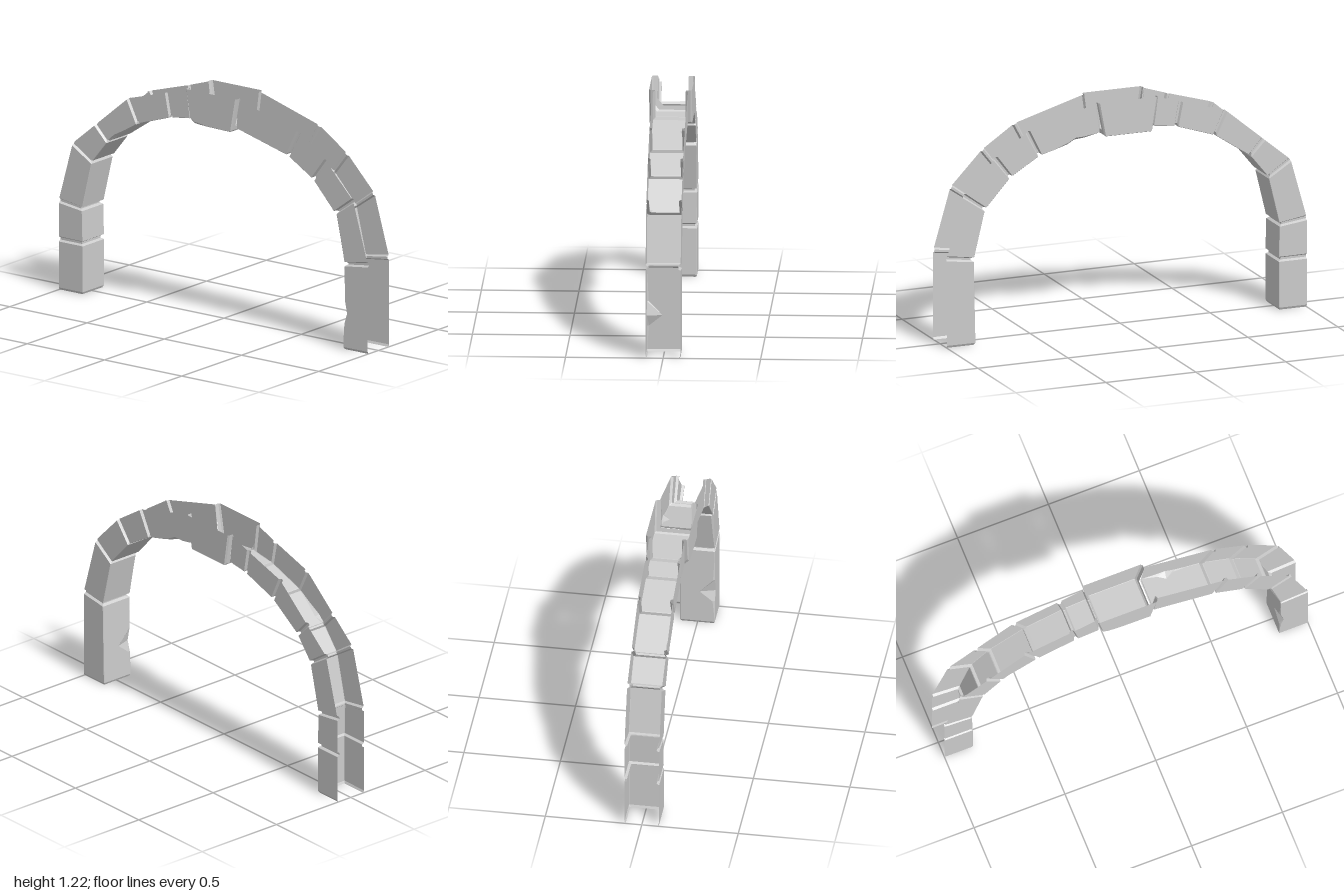
import * as THREE from 'three';

// Joint lines across the arch, left foot to right foot: outer x, y, inner x, y
const LEFT = [
  [-1, 0, -0.845, 0], [-1, 0.27, -0.845, 0.27], [-1, 0.475, -0.85, 0.455],
  [-0.91, 0.795, -0.787, 0.715], [-0.76, 0.92, -0.685, 0.84],
  [-0.55, 1.095, -0.49, 0.97], [-0.3, 1.168, -0.276, 1.04], [-0.16, 1.213, -0.14, 1.058],
];
const RIGHT = [
  [0.16, 1.213, 0.14, 1.058], [0.55, 1.1, 0.482, 0.968], [0.73, 0.98, 0.645, 0.87],
  [0.905, 0.8, 0.787, 0.715], [1, 0.475, 0.85, 0.455], [1, 0, 0.84, 0],
];

// End profiles: [distance from the joint, inset of the surface]
const GROOVE = [[0, 0.013], [0.006, 0.013], [0.014, 0]];
const FOOT = [[0, 0.006], [0.012, 0]];
const KEY = [[0, 0.03], [0, 0.008], [0.008, 0]];

const material = new THREE.MeshStandardMaterial({
  color: 0xcccccc, flatShading: true, side: THREE.DoubleSide,
});

// Chips are lists of [position along block, cut up the face, cut across the underside]
function chipAt(chips, s) {
  if (!chips) return [0.002, 0.002];
  let i = 0;
  while (i < chips.length - 2 && s > chips[i + 1][0]) i++;
  const [a, b] = [chips[i], chips[i + 1]];
  const k = THREE.MathUtils.clamp((s - a[0]) / (b[0] - a[0]), 0, 1);
  return [1, 2].map((n) => a[n] + (b[n] - a[n]) * k);
}

// A stone is a U-shaped shell (front, underside, back) lofted between two joints
function stone(name, a, b, { half = 0.09, start = GROOVE, end = GROOVE, front, back } = {}) {
  const length = Math.hypot(b[0] - a[0], b[1] - a[1]);
  const stations = [
    ...start.map(([d, inset]) => [d / length, inset]),
    ...[...(front || []), ...(back || [])].map((c) => c[0])
      .filter((s) => s > 0.06 && s < 0.94).sort((p, q) => p - q).map((s) => [s, 0]),
    ...[...end].reverse().map(([d, inset]) => [1 - d / length, inset]),
  ];

  const positions = [];
  const index = [];
  for (const [s, inset] of stations) {
    const p = a.map((v, i) => v + (b[i] - v) * s);
    const outer = new THREE.Vector2(p[0], p[1]);
    const inner = new THREE.Vector2(p[2], p[3]);
    const up = outer.clone().sub(inner).normalize();
    inner.addScaledVector(up, inset);
    const z = half - inset;
    const [fUp, fIn] = chipAt(front, s);
    const [bUp, bIn] = chipAt(back, s);
    const add = (point, lift, depth) =>
      positions.push(point.x + up.x * lift, point.y + up.y * lift, depth);
    add(outer, 0, z);
    add(inner, fUp, z);
    add(inner, 0, z - fIn);
    add(inner, 0, -z + bIn);
    add(inner, bUp, -z);
    add(outer, 0, -z);
  }
  for (let r = 0; r < stations.length - 1; r++) {
    for (let c = 0; c < 5; c++) {
      const i = r * 6 + c;
      index.push(i, i + 1, i + 7, i, i + 7, i + 6);
    }
  }
  const indexed = new THREE.BufferGeometry();
  indexed.setAttribute('position', new THREE.Float32BufferAttribute(positions, 3));
  indexed.setIndex(index);
  const geometry = indexed.toNonIndexed();
  geometry.computeVertexNormals();
  const mesh = new THREE.Mesh(geometry, material);
  mesh.name = name;
  return mesh;
}

export function createModel() {
  const arch = new THREE.Group();
  arch.name = 'stoneArch';

  // Worn edges on individual stones
  const leftWear = {
    4: { front: [[0, 0.004, 0.004], [0.25, 0.014, 0.02], [0.6, 0.006, 0.008], [1, 0.002, 0.002]] },
  };
  const rightWear = {
    0: { back: [[0.08, 0.002, 0.002], [0.28, 0.01, 0.012], [0.4, 0.02, 0.035],
      [0.55, 0.008, 0.008], [0.75, 0.002, 0.002]] },
    3: { front: [[0, 0.014, 0.012], [0.5, 0.008, 0.008], [1, 0.002, 0.002]] },
    4: { front: [[0.1, 0.002, 0.002], [0.42, 0.006, 0.01], [0.58, 0.022, 0.08],
      [0.7, 0.006, 0.012], [0.93, 0.002, 0.002]] },
  };

  // Left run of stones, foot to keystone
  for (let i = 0; i < LEFT.length - 1; i++) {
    arch.add(stone(`leftStone${i + 1}`, LEFT[i], LEFT[i + 1],
      { start: i === 0 ? FOOT : GROOVE, ...leftWear[i] }));
  }

  // Right run of stones, keystone to foot
  for (let i = 0; i < RIGHT.length - 1; i++) {
    arch.add(stone(`rightStone${i + 1}`, RIGHT[i], RIGHT[i + 1],
      { end: i === RIGHT.length - 2 ? FOOT : GROOVE, ...rightWear[i] }));
  }

  // Keystone stands proud of its neighbours, with one broken lower corner
  arch.add(stone('keystone', [-0.165, 1.215, -0.135, 1.035], [0.165, 1.215, 0.13, 1.035], {
    half: 0.11, start: KEY, end: KEY,
    front: [[0, 0.035, 0.03], [0.12, 0.016, 0.02], [0.4, 0.006, 0.01], [1, 0.002, 0.002]],
  }));

  return arch;
}
